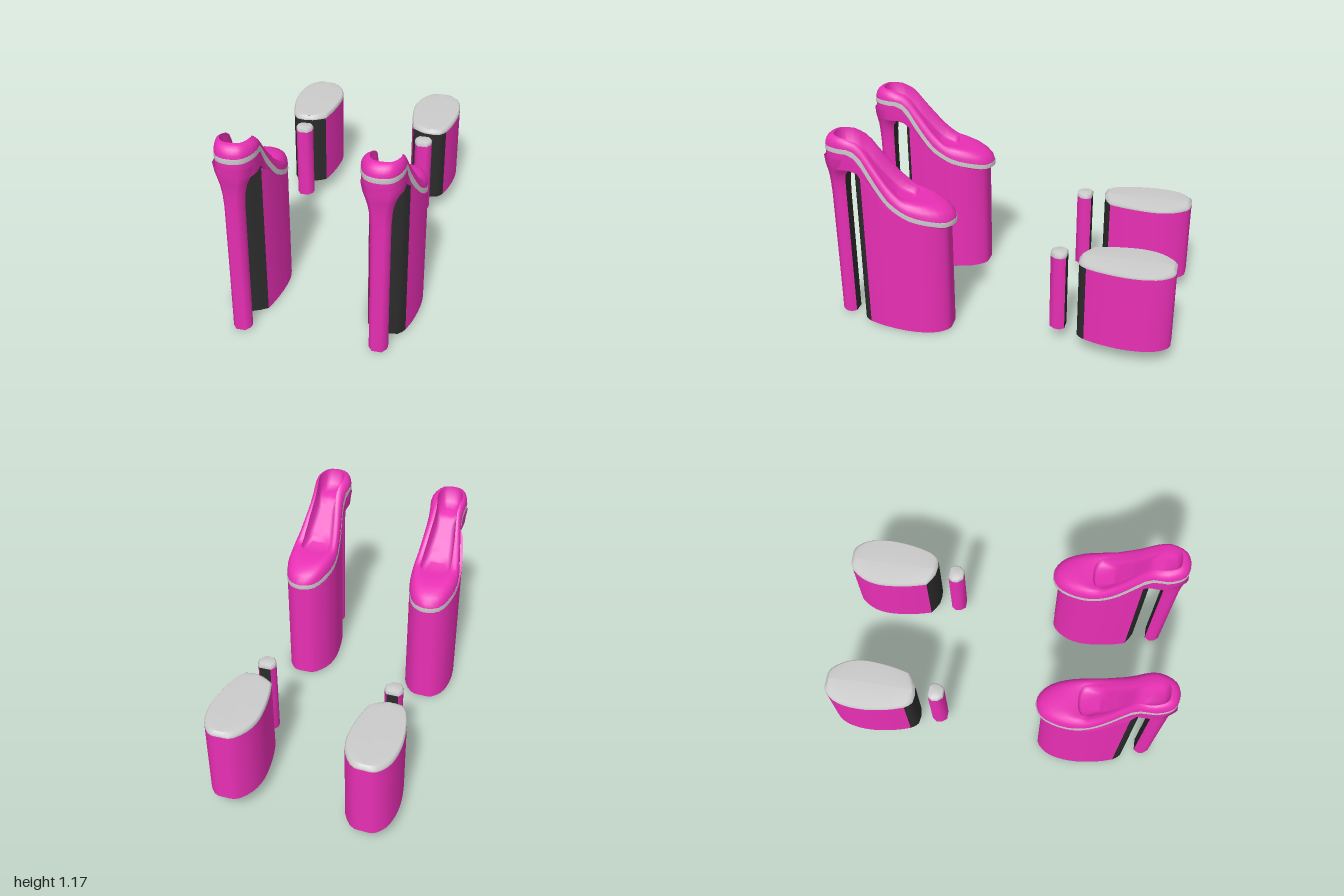
import * as THREE from 'three';

const pink = new THREE.MeshStandardMaterial({ color: 0xe82fb4, side: THREE.DoubleSide });
const dark = new THREE.MeshStandardMaterial({ color: 0x2b2b2b, side: THREE.DoubleSide });
const grey = new THREE.MeshStandardMaterial({ color: 0xcccccc, side: THREE.DoubleSide });

const MID = 0.39;         // x of a shoe's centre line
const SPARE = -1.285;     // z shift of the separate blocks

// Piecewise linear height along z
const along = (table) => (z) => {
  if (z <= table[0][0]) return table[0][1];
  for (let i = 1; i < table.length; i++) {
    const [z0, y0] = table[i - 1], [z1, y1] = table[i];
    if (z <= z1) return y0 + (y1 - y0) * (z - z0) / (z1 - z0);
  }
  return table[table.length - 1][1];
};
const stripeY = along([[.283, .715], [.465, .755], [.54, .788], [.615, .835], [.705, .946], [.785, 1.07], [.83, 1.1], [1, 1.1]]);
const rimY = along([[.475, .835], [.545, .855], [.62, .93], [.7, 1.035], [.775, 1.14], [.86, 1.17], [.94, 1.178]]);
const insoleY = along([[.45, .77], [.6, .835], [.7, .94], [.785, 1.05], [.86, 1.08], [.94, 1.09]]);
const underY = along([[.283, .7], [.465, .738], [.615, .81], [.705, .9], [.765, .95], [.81, .99], [1, .99]]);
const stripeHalf = (z) => {
  const slope = (stripeY(z + .03) - stripeY(z - .03)) / .06;
  return .014 * Math.sqrt(1 + slope * slope);
};

// Smooth curve through [x, z] points, sampled evenly in parameter
function sample(points, closed, n) {
  const curve = new THREE.CatmullRomCurve3(points.map(([x, z]) => new THREE.Vector3(x, 0, z)), closed, 'centripetal');
  const out = [];
  for (let i = 0; i < (closed ? n : n + 1); i++) {
    const p = curve.getPoint(i / n);
    out.push([p.x, p.z]);
  }
  return out;
}

// Skin over a list of rings, each a list of [x, y, z]
function loft(name, rings, material, closed = true) {
  const n = rings[0].length, index = [];
  for (let r = 0; r + 1 < rings.length; r++) {
    for (let i = 0; i < (closed ? n : n - 1); i++) {
      const a = r * n + i, b = r * n + (i + 1) % n;
      index.push(a, a + n, b, b, a + n, b + n);
    }
  }
  const geometry = new THREE.BufferGeometry();
  geometry.setAttribute('position', new THREE.Float32BufferAttribute(rings.flat(2), 3));
  geometry.setIndex(index);
  geometry.computeVertexNormals();
  const mesh = new THREE.Mesh(geometry, material);
  mesh.name = name;
  return mesh;
}

const raise = (loop, y) => loop.map(([x, z]) => [x, typeof y === 'function' ? y(z) : y, z]);
const spine = (loop) => loop.map(([, z]) => [MID, z]);
const shrink = (loop, k, cx, cz) => loop.map(([x, z]) => [cx + (x - cx) * k, cz + (z - cz) * k]);
const shift = (loop, dz) => loop.map(([x, z]) => [x, z + dz]);

// Plan outlines, from the toe round the outer side
const outline = sample([[.4, .245], [.48, .28], [.53, .39], [.54, .52], [.515, .64], [.485, .76], [.49, .88], [.45, .975],
  [.38, .998], [.31, .975], [.268, .88], [.28, .76], [.262, .64], [.248, .52], [.265, .39], [.32, .28]], true, 48);
const opening = sample([[.385, .475], [.45, .485], [.478, .51], [.48, .56], [.47, .66], [.455, .76], [.465, .86], [.435, .93],
  [.385, .942], [.335, .93], [.31, .86], [.325, .76], [.31, .66], [.297, .56], [.3, .51], [.325, .485]], true, 48);
const platformFront = sample([[.29, .765], [.268, .68], [.25, .55], [.25, .46], [.275, .37], [.34, .29], [.405, .283],
  [.46, .286], [.515, .345], [.54, .43], [.545, .54], [.525, .68], [.5, .765]], false, 30);
const platformBack = sample([[.5, .765], [.465, .81], [.365, .81], [.29, .765]], false, 6);
const platformLoop = [...platformFront, ...platformBack.slice(1, -1)];

// Heel section in unit width and depth: flat front, rounded back
const heelFront = [[-.65, 0], [.65, 0]];
const heelBack = [[.65, 0], [1, .3], [.95, .65], [.5, 1], [-.5, 1], [-.95, .65], [-1, .3], [-.65, 0]];
const heelLoop = heelBack.slice(0, -1).concat([[-.65, 0]]);
const heelRing = (unit, [y, half, front, back], dz = 0) =>
  unit.map(([u, v]) => [.383 + u * half, y, front + v * (back - front) + dz]);

// Platform walls with a chamfered bottom
function addPlatform(group, bottom, top, dz) {
  const loop = shift(platformLoop, dz);
  const small = shrink(loop, .93, MID, .55 + dz);
  const wall = (part) => [raise(shift(part, dz), bottom + .008), raise(shift(part, dz), top)];
  group.add(
    loft('platformWall', wall(platformFront), pink, false),
    loft('platformBackPanel', wall(platformBack), dark, false),
    loft('platformBottom', [raise(spine(small), bottom), raise(small, bottom), raise(loop, bottom + .008)], pink));
}

// Heel column: dark front panel, coloured back
function addHeel(group, sections, dz) {
  group.add(
    loft('heelFrontPanel', sections.map((s) => heelRing(heelFront, s, dz)), dark, false),
    loft('heelColumn', sections.map((s) => heelRing(heelBack, s, dz)), pink, false));
  const [y, half, front, back] = sections[0];
  group.add(loft('heelTip', [
    heelRing(heelLoop, [y, 0, (front + back) / 2, (front + back) / 2], dz),
    heelRing(heelLoop, sections[0], dz)], pink));
}

function createShoe() {
  const shoe = new THREE.Group();
  shoe.name = 'shoe';

  // Upper, domed from the stripe to the opening
  const dome = [];
  for (let k = 0; k <= 6; k++) {
    const a = (k / 6) * Math.PI / 2, inward = 1 - Math.cos(a), up = Math.sin(a);
    dome.push(outline.map(([x, z], i) => {
      const [ox, oz] = opening[i], y = stripeY(z) + stripeHalf(z);
      return [x + (ox - x) * inward, y + (rimY(oz) - y) * up, z + (oz - z) * inward];
    }));
  }
  shoe.add(loft('upper', dome, pink));

  // Lining and insole
  const floor = shrink(opening, .92, MID, .72);
  shoe.add(loft('lining', [raise(opening, rimY), raise(floor, insoleY), raise(shrink(floor, .6, MID, .72), insoleY),
    raise(spine(shrink(floor, .6, MID, .72)), insoleY)], pink));

  // Stripe, standing slightly proud
  const proud = shrink(outline, 1.008, MID, .62);
  const low = (z) => stripeY(z) - stripeHalf(z), high = (z) => stripeY(z) + stripeHalf(z);
  shoe.add(loft('stripe', [raise(outline, low), raise(proud, low), raise(proud, high), raise(outline, high)], grey));

  // Lower body between the stripe and the platform or heel
  const tucked = shrink(outline, .96, MID, .7).map(([x, z]) => [x, Math.max(z, .29)]);
  const bodyMid = (z) => low(z) * .6 + (underY(z) - .01) * .4;
  shoe.add(
    loft('lowerBody', [raise(tucked, (z) => underY(z) - .005),
      outline.map(([x, z]) => [x, bodyMid(z), Math.max(z, .262)]), raise(outline, low)], pink),
    loft('archUnderside', [raise(spine(tucked), (z) => underY(z) - .005), raise(tucked, (z) => underY(z) - .005)], dark));

  addPlatform(shoe, 0.005, underY, 0);
  shoe.add(loft('platformTop', [raise(platformLoop, underY), raise(spine(platformLoop), underY)], pink));

  // Heel flaring into the back of the shoe
  addHeel(shoe, [[.015, .052, .893, .98], [.4, .052, .893, .981], [.8, .053, .893, .983], [.88, .058, .891, .986],
    [.93, .068, .885, .989], [.965, .083, .86, .993], [1, .1, .83, .997], [1.05, .11, .82, .999]], 0);
  return shoe;
}

// Separate platform block and heel post with pale caps
function createSpareSet() {
  const set = new THREE.Group();
  set.name = 'spareBlocks';
  addPlatform(set, .095, .565, SPARE);
  const loop = shift(platformLoop, SPARE), inner = shrink(loop, .94, MID, .55 + SPARE);
  set.add(loft('blockCap', [raise(loop, .565), raise(loop, .58), raise(inner, .592), raise(spine(inner), .595)], grey));

  addHeel(set, [[.1, .052, .893, .982], [.565, .052, .893, .982]], SPARE);
  set.add(loft('postCap', [[.565, .053, .892, .983], [.582, .053, .892, .983], [.592, .043, .9, .975], [.594, 0, .937, .937]]
    .map((s) => heelRing(heelLoop, s, SPARE)), grey));
  return set;
}

export function createModel() {
  const model = new THREE.Group();
  model.name = 'platformShoesAndBlocks';
  for (const side of [1, -1]) {
    const half = new THREE.Group();
    half.name = side > 0 ? 'leftPair' : 'rightPair';
    half.add(createShoe(), createSpareSet());
    half.scale.x = side;
    model.add(half);
  }
  return model;
}
